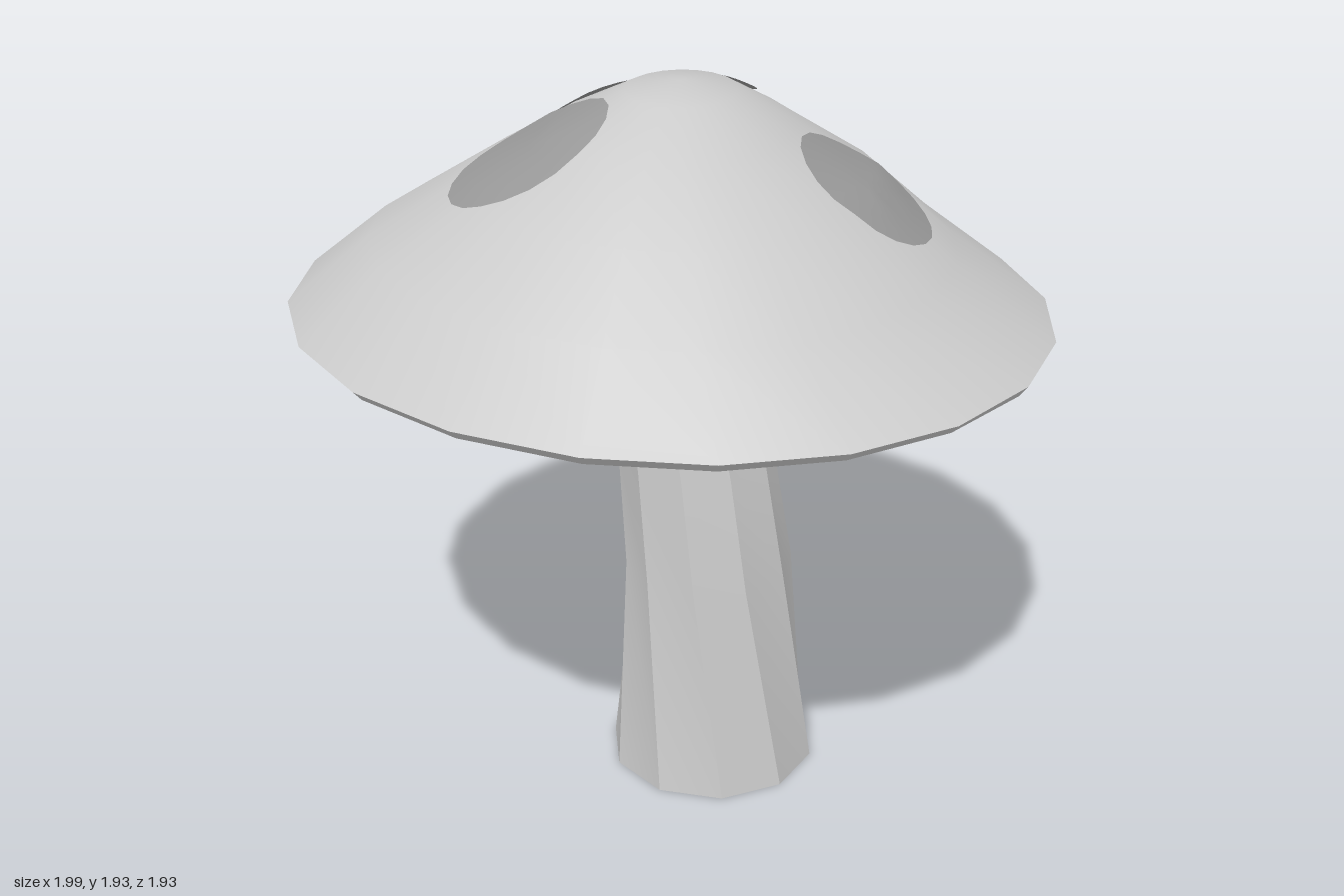
import * as THREE from 'three';
import { toCreasedNormals } from 'three/addons/utils/BufferGeometryUtils.js';

const grey = new THREE.MeshStandardMaterial({ color: 0xcccccc });
const spotGrey = new THREE.MeshStandardMaterial({ color: 0x999999, side: THREE.DoubleSide });
const clamp01 = (v) => THREE.MathUtils.clamp(v, 0, 1);

// Joins cross-section rings (ordered top to bottom); point(ring, angle) gives [x, y, z].
function loft(rings, sides, point, crease) {
  const pos = [], index = [];
  rings.forEach((ring) => {
    for (let j = 0; j < sides; j++) pos.push(...point(ring, (j / sides) * Math.PI * 2));
  });
  const last = rings.length - 1;
  for (let i = 0; i < last; i++) {
    for (let j = 0; j < sides; j++) {
      const k = (j + 1) % sides;
      const a = i * sides + j, b = i * sides + k, c = a + sides, d = b + sides;
      if (rings[i][0] > 0) index.push(a, b, c);
      if (rings[i + 1][0] > 0) index.push(b, d, c);
    }
  }
  const geo = new THREE.BufferGeometry();
  geo.setAttribute('position', new THREE.Float32BufferAttribute(pos, 3));
  geo.setIndex(index);
  return toCreasedNormals(geo, crease);
}

// Cap rings: radius, height, x stretch on the +x side, x stretch on the -x side
const CAP_X = 0.03, CAP_TILT = 0.025;
const capProfile = [
  [0, 1.935, 1, 1], [0.18, 1.912, 0.78, 0.78], [0.38, 1.82, 0.76, 0.85],
  [0.58, 1.69, 0.88, 0.93], [0.77, 1.525, 0.92, 1.04], [0.967, 1.347, 1, 1.05],
];

// Height of the cap surface above a point, found between the two rings around it
function capHeight(x, z) {
  const dx = x - CAP_X;
  const outside = ([r, , right, left]) => Math.hypot(dx / (dx > 0 ? right : left), z) - r;
  const i = capProfile.findIndex((ring) => outside(ring) < 0);
  const inner = capProfile[i - 1], outer = capProfile[i];
  const d0 = outside(inner), d1 = outside(outer);
  return inner[1] + (outer[1] - inner[1]) * (d0 / (d0 - d1)) - CAP_TILT * x;
}

function capGeometry() {
  // the lip and underside rings end with the amount of sag at the back left
  const rings = [
    ...capProfile, [0.945, 1.322, 1, 1.05, 0.055], [0.8, 1.315, 1, 1.05, 0.04],
    [0.6, 1.335, 1, 1], [0, 1.335, 1, 1],
  ];
  return loft(rings, 20, ([r, y, right, left, sag = 0], a) => {
    const x = CAP_X + Math.cos(a) * r * (Math.cos(a) > 0 ? right : left);
    const q = Math.max(0, Math.cos(a + Math.PI / 4)) ** 3;
    return [x, y - CAP_TILT * x - sag * q, Math.sin(a) * r];
  }, 0.6);
}

// Oval underside, flat on the right and bulging down at the back left
function undersideGeometry() {
  // scale, lift
  const rings = [
    [0, 0.065], [0.92, 0.055], [1, 0.035], [0.97, 0.012],
    [0.8, 0], [0.58, 0], [0.38, 0], [0.18, 0], [0, 0],
  ];
  return loft(rings, 20, ([s, lift], a) => {
    const x = Math.cos(a) * 0.97 * s - 0.02, z = Math.sin(a) * 0.785 * s + 0.01;
    const bulge = clamp01((x + 0.1) / 0.65) * clamp01((0.85 - z) / 0.8) * (1 - 0.45 * clamp01((x - 0.57) / 0.4));
    return [x, 1.285 - 0.115 * bulge + lift, z];
  }, 0.6);
}

// Leaning, slightly twisted ten-sided stem
function stemGeometry() {
  // radius, height, centre x, twist
  const rings = [
    [0, 1.33, 0.01, 0.28], [0.183, 1.33, 0.01, 0.28], [0.21, 0.92, 0.075, 0.28],
    [0.228, 0.6, 0.112, 0.28], [0.285, 0, 0.125, 0], [0, 0, 0.125, 0],
  ];
  return loft(rings, 10, ([r, y, cx, twist], a) =>
    [cx + Math.cos(a + twist) * r, y, Math.sin(a + twist) * r], 0.5);
}

// Oval patch draped just above the cap
function spotGeometry(cx, cz, rx, rz) {
  return loft([[0], [0.35], [0.7], [1]], 20, ([s], a) => {
    const x = cx + Math.cos(a) * rx * s, z = cz + Math.sin(a) * rz * s;
    return [x, capHeight(x, z) + 0.012, z];
  }, 0.8);
}

export function createModel() {
  const group = new THREE.Group();
  group.name = 'mushroom';
  const add = (name, geometry, material = grey) => {
    const mesh = new THREE.Mesh(geometry, material);
    mesh.name = name;
    group.add(mesh);
  };
  add('stem', stemGeometry());
  add('cap', capGeometry());
  add('capUnderside', undersideGeometry());
  // centre x, centre z, radius x, radius z
  const spots = [
    [-0.305, 0.215, 0.2, 0.2], [-0.265, -0.31, 0.13, 0.122],
    [0.092, -0.325, 0.068, 0.06], [0.505, 0.005, 0.167, 0.205],
  ];
  spots.forEach((s, i) => add(`spot${i + 1}`, spotGeometry(...s), spotGrey));
  return group;
}
